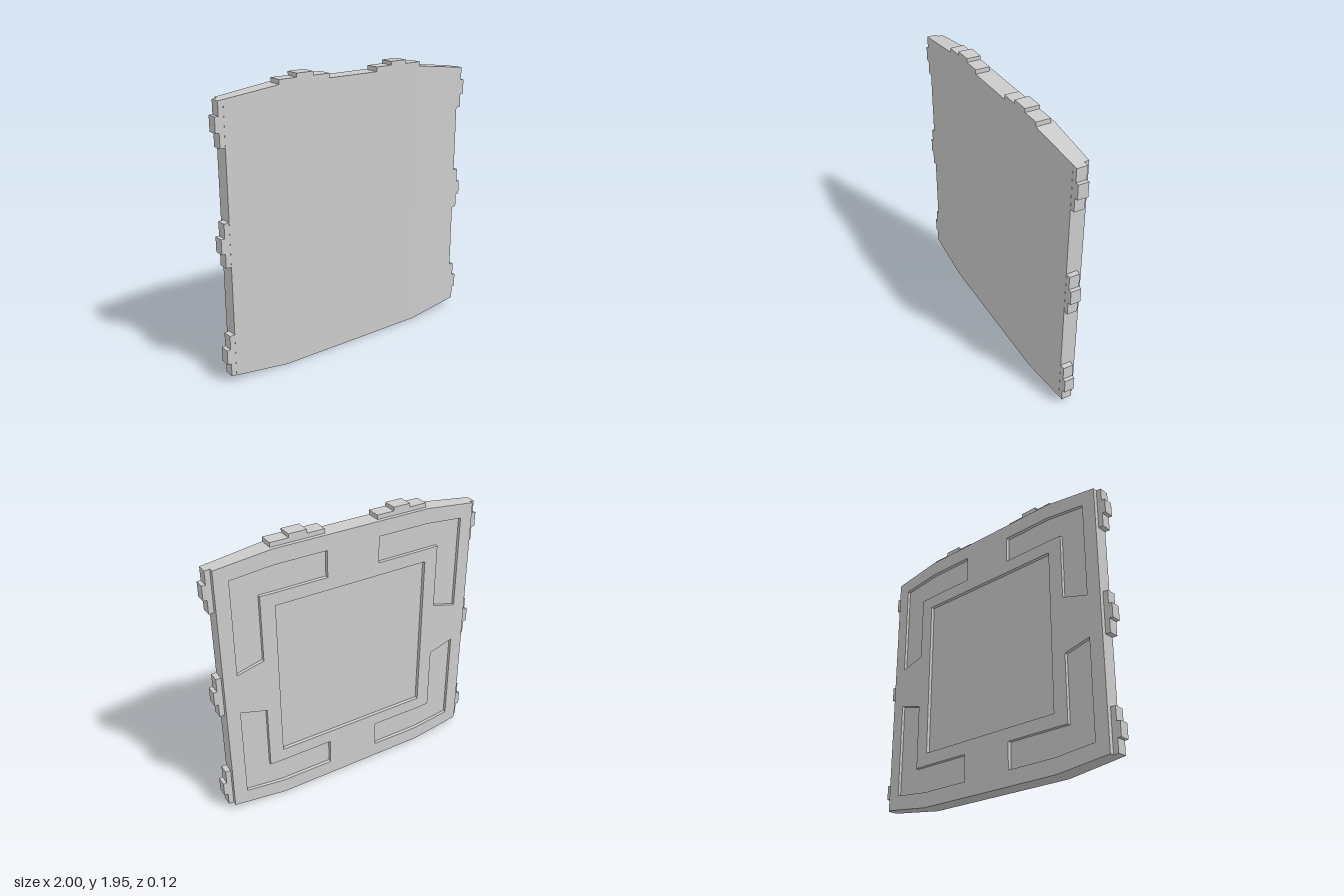
import * as THREE from 'three';

const H = 1.89;          // panel height without the top tabs
const BEND = 0.56;       // the faces taper outward from here
const FRONT = 0.0625, FLOOR = -0.0375, BACK = -0.0625;

const material = new THREE.MeshStandardMaterial({ color: 0xcccccc, flatShading: true });

const mirrorX = (pts) => pts.map(([x, y]) => [-x, y]);
const mirrorY = (pts) => pts.map(([x, y]) => [x, H - y]);
const rect = (x0, y0, x1, y1) => [[x0, y0], [x1, y0], [x1, y1], [x0, y1]];

// Extrude an outline between two depths
function slab(name, pts, z0, z1, taper = false) {
  const shape = new THREE.Shape(pts.map(([x, y]) => new THREE.Vector2(x, y)));
  const geo = new THREE.ExtrudeGeometry(shape, { depth: z1 - z0, bevelEnabled: false });
  geo.translate(0, 0, z0);
  if (taper) {
    // thin the panel toward its side edges
    const p = geo.attributes.position;
    for (let i = 0; i < p.count; i++) {
      const t = Math.max(0, (Math.abs(p.getX(i)) - BEND) / 0.415);
      p.setZ(i, p.getZ(i) * (1 - 0.2 * t));
    }
    geo.computeVertexNormals();
  }
  const mesh = new THREE.Mesh(geo, material);
  mesh.name = name;
  return mesh;
}

export function createModel() {
  const model = new THREE.Group();
  model.name = 'wallPanel';

  // Front plate, whose rear face is the floor of the recesses
  const wing = [[BEND, 0], [0.94, 0.046], [0.94, H - 0.046], [BEND, H]];
  model.add(slab('frontPlateCentre', rect(-BEND, 0, BEND, H), FLOOR, FRONT, true));
  model.add(slab('frontPlateLeft', wing, FLOOR, FRONT, true));
  model.add(slab('frontPlateRight', mirrorX(wing), FLOOR, FRONT, true));

  // Back frame around the square recess and the four L-shaped recesses
  const halfWing = [
    [BEND, H], [BEND, 1.785], [0.845, 1.755], [0.845, 1.09],
    [0.66, 1.14], [0.66, 1.6], [BEND, 1.6],
  ];
  const backWing = [
    [0.94, H - 0.046], ...halfWing, ...mirrorY(halfWing).reverse(), [0.94, 0.046],
  ];
  model.add(slab('backFrameLeft', backWing, BACK, FLOOR, true));
  model.add(slab('backFrameRight', mirrorX(backWing), BACK, FLOOR, true));

  const halfRail = [
    [BEND, 1.51], [BEND, 1.6], [0.19, 1.6], [0.19, 1.785], [BEND, 1.785], [BEND, H],
  ];
  const rail = [...halfRail, ...mirrorX(halfRail).reverse()];
  model.add(slab('backFrameTop', rail, BACK, FLOOR, true));
  model.add(slab('backFrameBottom', mirrorY(rail), BACK, FLOOR, true));

  // Stepped connector tabs, the same on both sides
  const cornerTab = [[0.94, 1.555], [0.975, 1.555], [0.975, 1.84], [0.94, H - 0.046]];
  const cornerKnob = rect(0.975, 1.65, 1, 1.75);
  for (const [side, flip] of [['left', (p) => p], ['right', mirrorX]]) {
    const edge = new THREE.Group();
    edge.name = side + 'Connectors';
    const add = (name, pts, z0, z1) => edge.add(slab(name, flip(pts), z0, z1));
    add('upperSideTab', cornerTab, -0.02, 0.05);
    add('upperSideKnob', cornerKnob, -0.02, 0.05);
    add('middleSideTab', rect(0.94, 0.8, 0.975, 1.09), -0.02, 0.05);
    add('middleSideKnob', rect(0.975, 0.895, 1, 0.995), -0.02, 0.05);
    add('lowerSideTab', mirrorY(cornerTab), -0.02, 0.05);
    add('lowerSideKnob', mirrorY(cornerKnob), -0.02, 0.05);
    add('topTab', rect(0.19, H, 0.563, 1.92), -0.035, FRONT);
    add('topKnob', rect(0.313, 1.92, 0.437, 1.945), -0.035, FRONT);
    model.add(edge);
  }
  return model;
}
